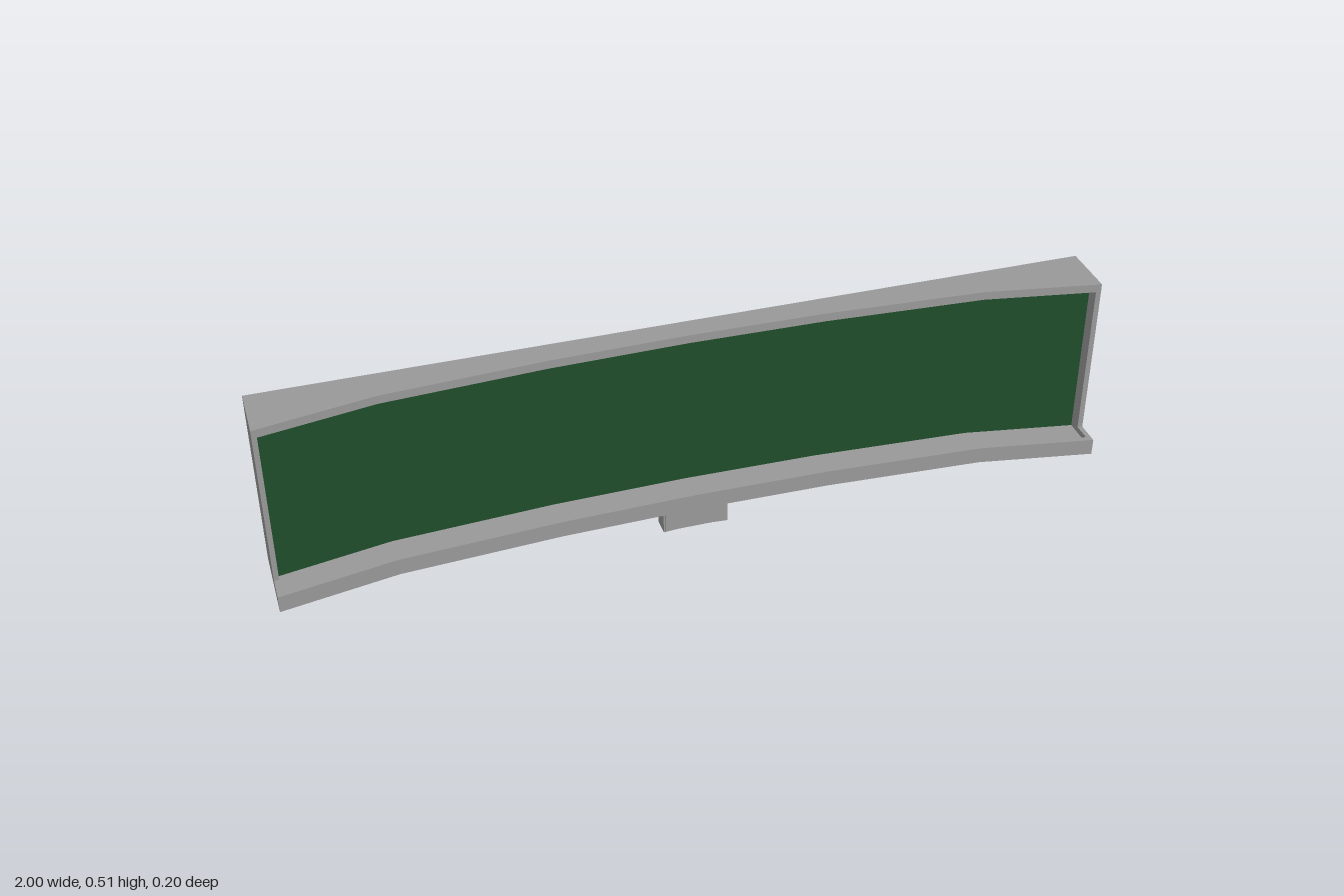
import * as THREE from 'three';

const grey = new THREE.MeshStandardMaterial({ color: 0x999999 });
grey.name = 'frame grey';
const green = new THREE.MeshStandardMaterial({ color: 0x204d2b });
green.name = 'board green';

// Faceted concave curve of the frame front: half-width x against depth z
const CURVE = [[0, -0.04], [0.33, -0.034], [0.72, -0.011], [1, 0.04]];

function curveZ(x) {
  const a = Math.abs(x);
  let i = 0;
  while (i < CURVE.length - 2 && a > CURVE[i + 1][0]) i++;
  const [x0, z0] = CURVE[i], [x1, z1] = CURVE[i + 1];
  return z0 + (z1 - z0) * (a - x0) / (x1 - x0);
}

// Points along the curve from x0 to x1, moved forward by an offset
function curvePoints(x0, x1, offset) {
  const bends = [-0.72, -0.33, 0, 0.33, 0.72].filter(x => x > x0 && x < x1);
  return [x0, ...bends, x1].map(x => [x, curveZ(x) + offset]);
}

// Extrude an outline of [x, z] points upward from y0 to y1
function prism(name, outline, y0, y1, material) {
  const shape = new THREE.Shape(outline.map(([x, z]) => new THREE.Vector2(x, -z)));
  const geo = new THREE.ExtrudeGeometry(shape, { depth: y1 - y0, bevelEnabled: false });
  geo.rotateX(-Math.PI / 2);
  geo.translate(0, y0, 0);
  const mesh = new THREE.Mesh(geo, material);
  mesh.name = name;
  return mesh;
}

// Curved strip between two offsets of the curve
function strip(name, x0, x1, back, front, y0, y1, material = grey) {
  const outline = [...curvePoints(x0, x1, front), ...curvePoints(x0, x1, back).reverse()];
  return prism(name, outline, y0, y1, material);
}

export function createModel() {
  const group = new THREE.Group();
  group.name = 'curvedChalkboard';
  const recess = -0.035, bottom = 0.058, floor = 0.085, rim = 0.1, top = 0.512;

  // Solid body with a flat back
  const body = [...curvePoints(-1, 1, recess), [1, -0.1], [-1, -0.1]];
  group.add(prism('backBody', body, bottom, top, grey));

  // Writing surface
  group.add(strip('board', -0.988, 0.988, recess, recess + 0.004, floor, 0.491, green));

  // Raised frame and chalk tray
  group.add(strip('topRail', -1, 1, recess, 0, 0.491, top));
  group.add(strip('trayFloor', -1, 1, recess, 0.06, bottom, floor));
  group.add(strip('trayLip', -1, 1, 0.046, 0.06, floor, rim));
  for (const s of [-1, 1]) {
    const [a, b] = s > 0 ? [0.988, 1] : [-1, -0.988];
    group.add(strip('sideRail', a, b, recess, 0, floor, 0.491));
    group.add(strip('trayEnd', a, b, 0, 0.046, floor, rim));
  }

  // Small curved box under the tray, with an inset front panel
  const box = new THREE.Group();
  box.name = 'underBox';
  box.add(prism('boxBody', [
    [-0.08, 0.012], [-0.04, 0.009], [0.04, 0.009], [0.08, 0.012],
    [0.08, -0.031], [0.04, -0.035], [-0.04, -0.035], [-0.08, -0.031],
  ], 0, bottom, grey));
  box.add(prism('boxFrontPanel', [
    [-0.076, 0.016], [-0.04, 0.013], [0.04, 0.013], [0.076, 0.016],
    [0.076, 0.01], [0.04, 0.008], [-0.04, 0.008], [-0.076, 0.01],
  ], 0.004, 0.054, grey));
  group.add(box);
  return group;
}
